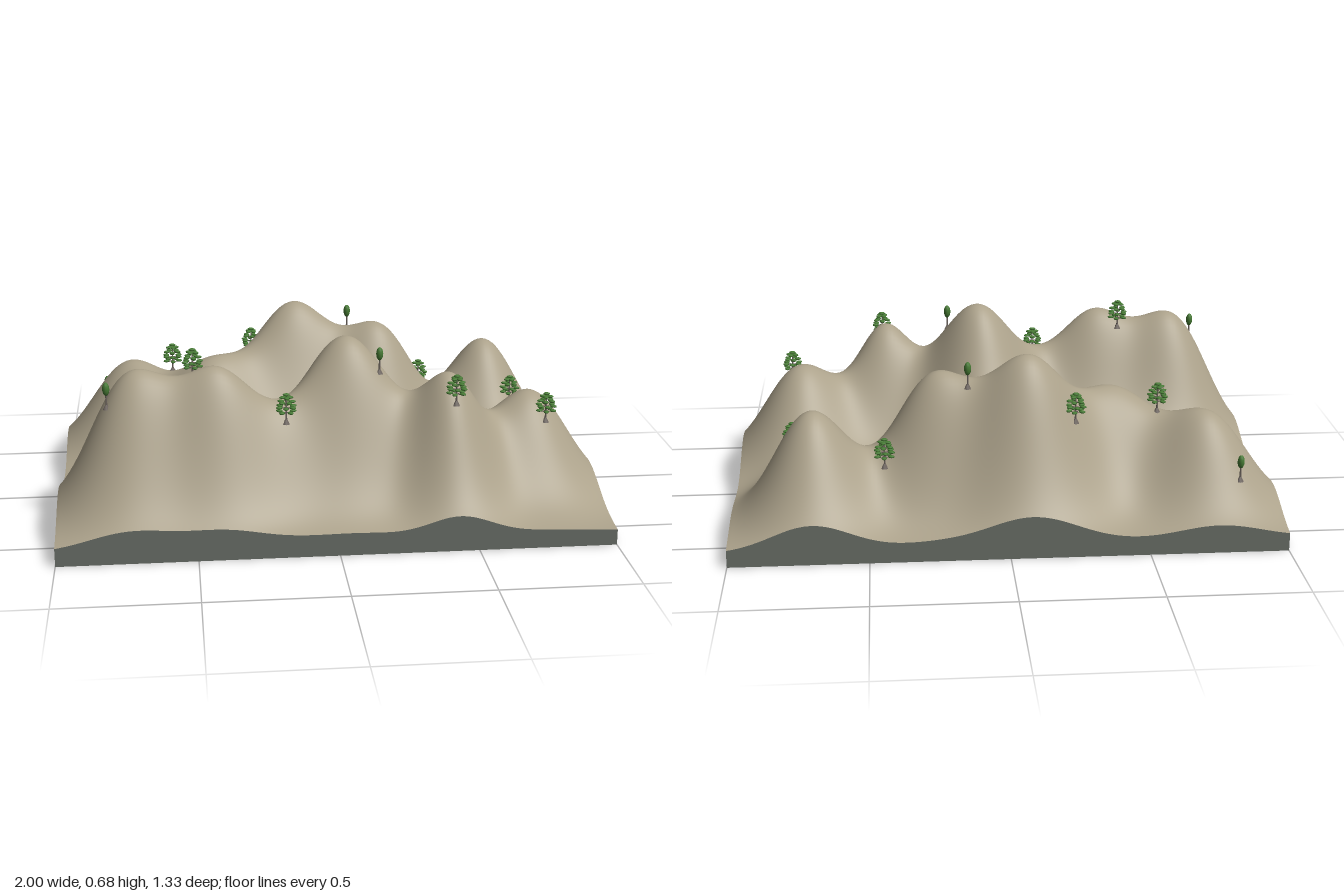
import * as THREE from 'three';

const HX = 1, HZ = 0.665, FLOOR = 0.055;

// Hills: x, z, surface height, spread in x, spread in z
const hills = [
  // front ridge
  [-0.73, 0.33, 0.60, 0.15, 0.165], [-0.40, 0.36, 0.615, 0.14, 0.145],
  [-0.17, 0.37, 0.46, 0.10, 0.12], [0.05, 0.22, 0.68, 0.16, 0.18],
  [0.20, 0.30, 0.545, 0.10, 0.12], [0.43, 0.37, 0.57, 0.115, 0.155],
  [0.76, 0.22, 0.45, 0.15, 0.17],
  // back ridge
  [-0.75, -0.37, 0.43, 0.15, 0.15], [-0.42, -0.19, 0.48, 0.16, 0.16],
  [-0.08, -0.37, 0.66, 0.16, 0.16], [0.27, -0.29, 0.575, 0.14, 0.145],
  [0.70, -0.39, 0.475, 0.14, 0.16],
].map(([x, z, h, sx, sz]) => ({ x, z, h, sx, sz, amp: 0 }));

function height(x, z) {
  let y = FLOOR;
  for (const k of hills) {
    y += k.amp * Math.exp(-((x - k.x) ** 2) / (2 * k.sx ** 2) - ((z - k.z) ** 2) / (2 * k.sz ** 2));
  }
  return y;
}

// Adjust each hill until the summed surface passes through its height
for (const k of hills) k.amp = 0;
for (let i = 0; i < 80; i++) {
  for (const k of hills) k.amp += 0.8 * (k.h - height(k.x, k.z));
}

const mat = (name, color, side = THREE.FrontSide) => {
  const m = new THREE.MeshStandardMaterial({ color, side });
  m.name = name;
  return m;
};

export function createModel() {
  const model = new THREE.Group();
  model.name = 'mountainDiorama';
  const ground = mat('sandstone', 0xaca28b);
  const stone = mat('baseStone', 0x686d66);
  const bark = mat('bark', 0x6b625c);
  const leaf = mat('leaf', 0x467a34);

  const add = (parent, name, geometry, material, x = 0, y = 0, z = 0) => {
    const mesh = new THREE.Mesh(geometry, material);
    mesh.name = name;
    mesh.position.set(x, y, z);
    parent.add(mesh);
    return mesh;
  };

  // Smooth terrain surface
  const top = new THREE.PlaneGeometry(2 * HX, 2 * HZ, 140, 94).rotateX(-Math.PI / 2);
  const p = top.attributes.position;
  for (let i = 0; i < p.count; i++) p.setY(i, height(p.getX(i), p.getZ(i)));
  top.computeVertexNormals();
  add(model, 'terrain', top, ground);

  // Four side walls following the terrain edge
  const base = new THREE.Group();
  base.name = 'base';
  model.add(base);
  ['frontWall', 'leftWall', 'backWall', 'rightWall'].forEach((name, i) => {
    const [w, d, n] = i % 2 ? [HZ, HX, 94] : [HX, HZ, 140];
    const wall = new THREE.PlaneGeometry(2 * w, 1, n, 1)
      .translate(0, 0.5, d).rotateY(i * Math.PI / 2);
    const q = wall.attributes.position;
    for (let j = 0; j < q.count; j++) {
      q.setY(j, q.getY(j) > 0.5 ? height(q.getX(j), q.getZ(j)) : 0);
    }
    add(base, name, wall, stone);
  });
  add(base, 'underside', new THREE.PlaneGeometry(2 * HX, 2 * HZ).rotateX(Math.PI / 2), stone);

  // Shared tree geometry
  const trunkGeo = new THREE.CylinderGeometry(0.002, 0.004, 0.1, 6).translate(0, 0.05, 0);
  const shortTrunkGeo = new THREE.CylinderGeometry(0.003, 0.004, 0.055, 6).translate(0, 0.0275, 0);
  const rootGeo = new THREE.CylinderGeometry(0.004, 0.014, 0.018, 6).translate(0, 0.006, 0);
  const padGeo = new THREE.SphereGeometry(1, 8, 6).scale(0.013, 0.005, 0.010);
  const crownGeo = new THREE.SphereGeometry(1, 8, 8).scale(0.013, 0.025, 0.013);
  const branchGeo = new THREE.CylinderGeometry(0.001, 0.0015, 1, 4)
    .rotateZ(-Math.PI / 2).translate(0.5, 0, 0);

  const plant = (name, x, z) => {
    const tree = new THREE.Group();
    tree.name = name;
    tree.position.set(x, height(x, z) - 0.002, z);
    model.add(tree);
    add(tree, 'roots', rootGeo, bark);
    return tree;
  };

  // Layered trees: tiers of flat leaf pads around a thin trunk
  const tiers = [[0.045, 0.026, 5], [0.063, 0.028, 6], [0.081, 0.022, 5], [0.098, 0.013, 4]];
  const layered = [
    [-0.50, 0.29], [-0.17, 0.41], [0.44, 0.455], [0.80, 0.33],
    [-0.57, -0.29], [-0.25, -0.43], [0.44, -0.43], [0.78, -0.21],
  ];
  layered.forEach(([x, z], t) => {
    const tree = plant('layeredTree', x, z);
    add(tree, 'trunk', trunkGeo, bark);
    tiers.forEach(([y, r, n], k) => {
      for (let i = 0; i < n; i++) {
        const a = (i / n) * Math.PI * 2 + k * 0.7 + t;
        const pad = add(tree, 'leafPad', padGeo, leaf, Math.cos(a) * r, y, Math.sin(a) * r);
        pad.rotation.y = -a;
        const branch = add(tree, 'branch', branchGeo, bark, 0, y - 0.004, 0);
        branch.scale.x = r;
        branch.rotation.y = -a;
      }
    });
    add(tree, 'treeTip', padGeo, leaf, 0, 0.108, 0);
  });

  // Slim trees with a single oval crown
  for (const [x, z] of [[-0.81, 0.385], [0.18, 0.305], [-0.84, -0.53], [0.135, -0.365]]) {
    const tree = plant('slimTree', x, z);
    add(tree, 'trunk', shortTrunkGeo, bark);
    add(tree, 'crown', crownGeo, leaf, 0, 0.073, 0);
  }
  return model;
}
